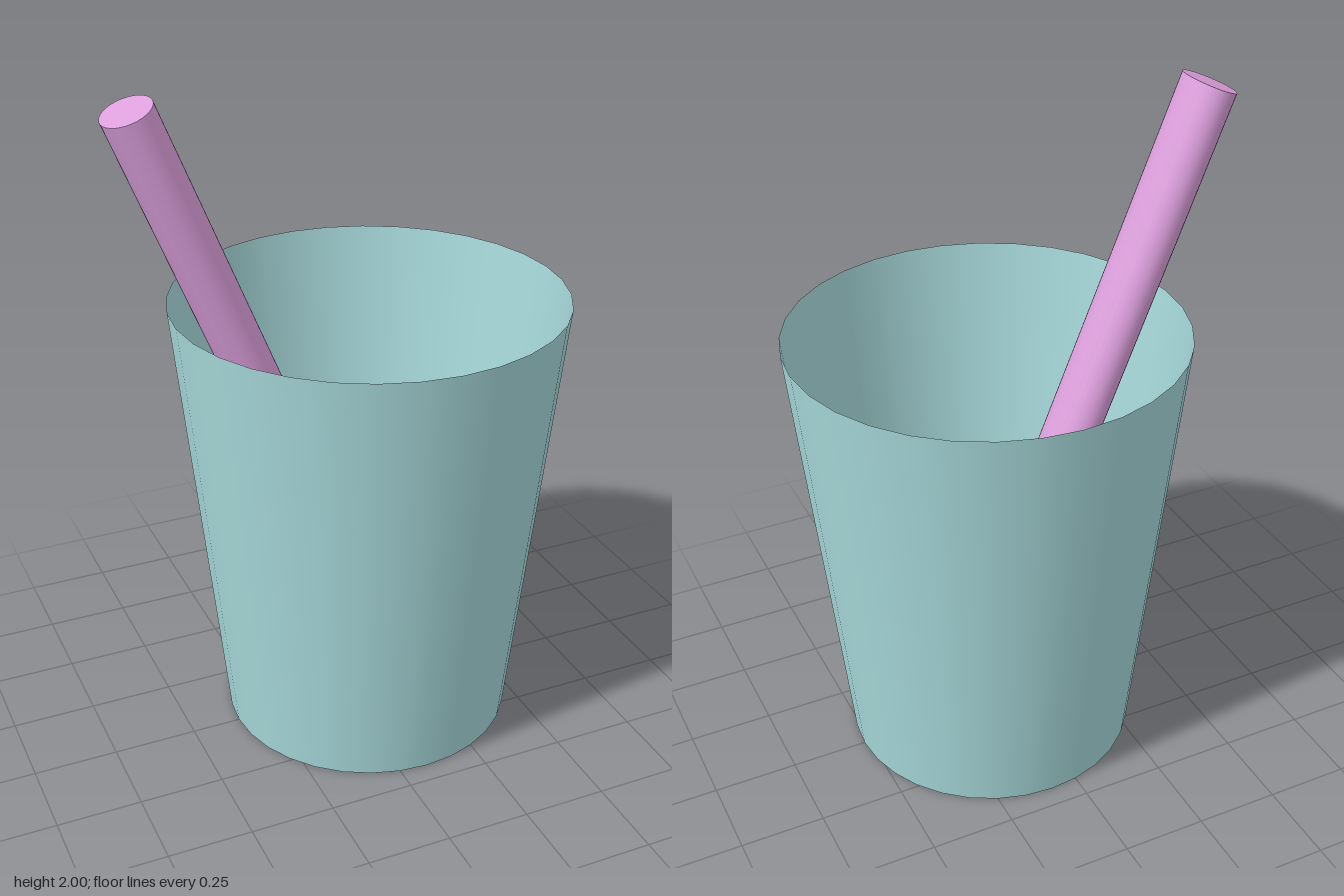
import * as THREE from 'three';

export function createModel() {
  const model = new THREE.Group();
  const cupBlue = new THREE.MeshStandardMaterial({ color: 0xa8dadc, side: THREE.DoubleSide });
  cupBlue.name = 'cupBlue';
  const strawPink = new THREE.MeshStandardMaterial({ color: 0xdda0dd });
  strawPink.name = 'strawPink';

  // Cup: open tapered wall and a flat base
  const height = 1.355, rimRadius = 0.578, baseRadius = 0.436;
  const cup = new THREE.Group();
  cup.name = 'cup';
  cup.position.x = 0.084;

  const wall = new THREE.Mesh(
    new THREE.CylinderGeometry(rimRadius, baseRadius, height, 32, 1, true), cupBlue);
  wall.name = 'cupWall';
  wall.position.y = height / 2;

  const base = new THREE.Mesh(new THREE.CircleGeometry(baseRadius, 32), cupBlue);
  base.name = 'cupBase';
  base.rotation.x = Math.PI / 2;
  cup.add(wall, base);

  // Straw: slightly flattened closed cylinder between its two end centres
  const bottom = new THREE.Vector3(-0.036, 0.582, 0);
  const top = new THREE.Vector3(-0.598, 1.973, 0);
  const axis = top.clone().sub(bottom);
  const straw = new THREE.Mesh(
    new THREE.CylinderGeometry(0.095, 0.095, axis.length(), 32), strawPink);
  straw.name = 'straw';
  straw.scale.x = 0.77;
  straw.position.copy(bottom).add(top).multiplyScalar(0.5);
  straw.rotation.z = Math.atan2(-axis.x, axis.y);

  model.add(cup, straw);
  return model;
}
